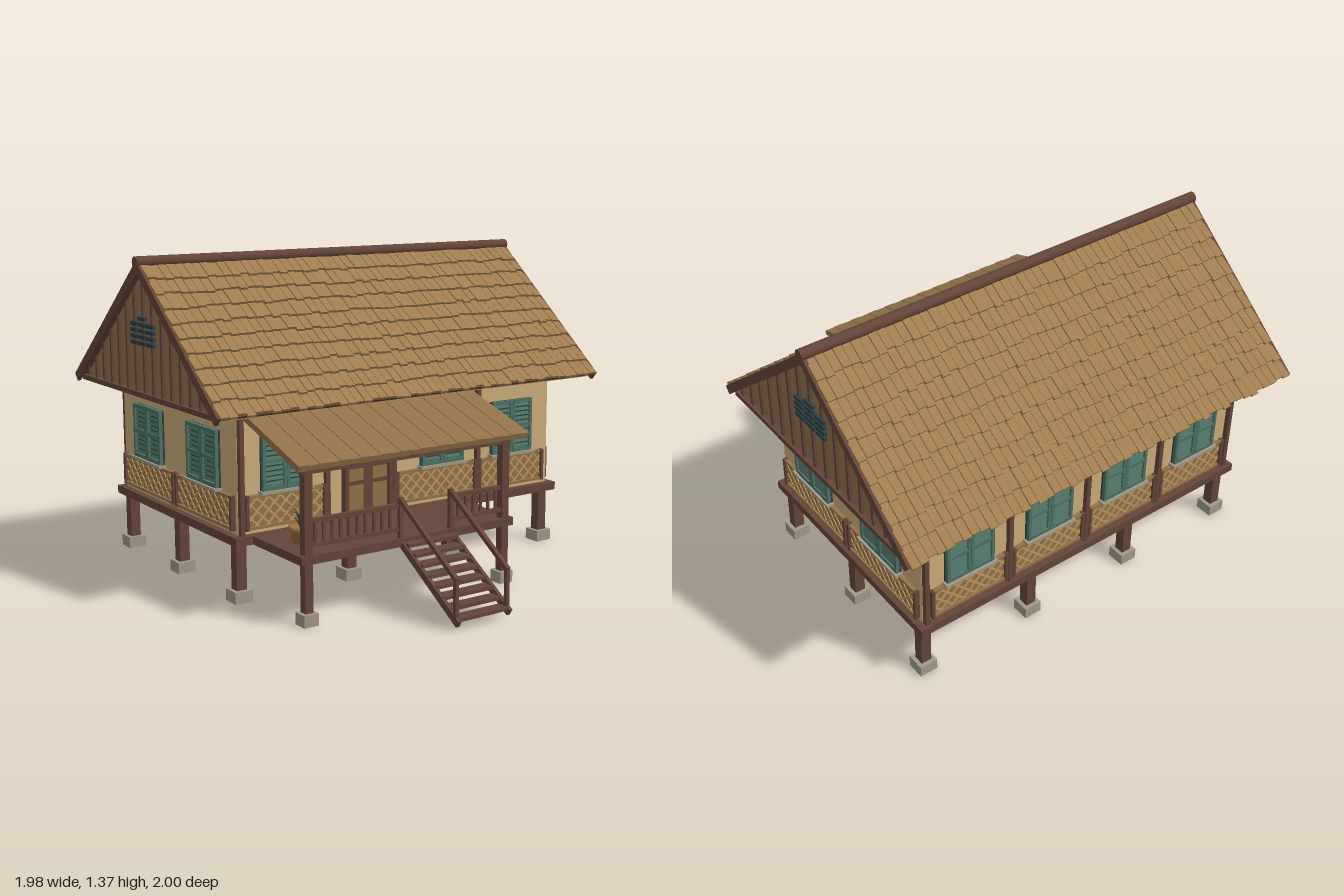
import * as THREE from 'three';
import { mergeGeometries } from 'three/addons/utils/BufferGeometryUtils.js';

const mat = (name, color, opts = {}) => {
  const m = new THREE.MeshStandardMaterial({ color, ...opts });
  m.name = name;
  return m;
};
const WOOD = mat('dark wood', 0x644539), TILE = mat('roof shingle', 0xa07d50), WALL = mat('plaster wall', 0xcbad7a),
  PANEL = mat('bamboo panel', 0x92724a), LATTICE = mat('lattice strip', 0xbd975c), SHUTTER = mat('green shutter', 0x4d7162),
  DARK = mat('dark vent', 0x2c3f42), STONE = mat('stone', 0xa09a88), POT = mat('clay pot', 0x9a7040),
  LEAF = mat('leaf', 0x3d4c3d, { side: THREE.DoubleSide });

function mesh(parent, name, geo, material) {
  const m = new THREE.Mesh(geo, material);
  m.name = name;
  parent.add(m);
  return m;
}
function box(parent, name, material, w, h, d, x, y, z) {
  const m = mesh(parent, name, new THREE.BoxGeometry(w, h, d), material);
  m.position.set(x, y, z);
  return m;
}
// Beam between two points lying in a plane of constant x
function slopeBeam(parent, name, material, w, t, x, y0, z0, y1, z1) {
  const b = box(parent, name, material, w, t, Math.hypot(y1 - y0, z1 - z0), x, (y0 + y1) / 2, (z0 + z1) / 2);
  b.rotation.x = -Math.atan2(y1 - y0, z1 - z0);
  return b;
}
function group(parent, name, x = 0, y = 0, z = 0, ry = 0) {
  const g = new THREE.Group();
  g.name = name;
  g.position.set(x, y, z);
  g.rotation.y = ry;
  parent.add(g);
  return g;
}
let seed = 7;
const rnd = () => (seed = (seed * 16807) % 2147483647) / 2147483647;

// Louvred double shutter facing +z, centred on its origin
function shutters(parent, w) {
  const h = 0.24, leaf = w / 2;
  box(parent, 'windowBack', DARK, w, h, 0.008, 0, 0, 0.004);
  for (const s of [-1, 1]) {
    const cx = s * leaf / 2;
    for (const e of [-1, 1]) {
      box(parent, 'shutterStile', SHUTTER, 0.014, h, 0.022, cx + e * (leaf / 2 - 0.008), 0, 0.013);
      box(parent, 'shutterRail', SHUTTER, leaf - 0.004, 0.016, 0.022, cx, e * (h / 2 - 0.008), 0.013);
    }
    box(parent, 'shutterRail', SHUTTER, leaf - 0.004, 0.014, 0.022, cx, 0, 0.013);
    for (let i = 0; i < 10; i++) {
      const l = box(parent, 'louvre', SHUTTER, leaf - 0.03, 0.015, 0.005, cx, -0.094 + i * 0.0209, 0.013);
      l.rotation.x = -0.5;
    }
  }
  box(parent, 'windowSill', STONE, w + 0.02, 0.012, 0.035, 0, -h / 2 - 0.006, 0.017);
}

// Lattice dado facing +z, with its bottom edge at the origin
function dado(parent, w) {
  const h = 0.13, parts = [];
  box(parent, 'dadoPanel', PANEL, w, h, 0.008, 0, h / 2, 0.004);
  for (const s of [-1, 1]) {
    for (let c = -w / 2 - h; c < w / 2; c += 0.055) {
      const y0 = Math.max(0, -w / 2 - c), y1 = Math.min(h, w / 2 - c);
      if (y1 - y0 < 0.01) continue;
      const g = new THREE.BoxGeometry(0.008, (y1 - y0) * Math.SQRT2, 0.004);
      g.rotateZ(-s * Math.PI / 4);
      parts.push(g.translate(s * (c + (y0 + y1) / 2), (y0 + y1) / 2, 0.01));
    }
    box(parent, 'dadoPost', WOOD, 0.014, h + 0.015, 0.022, s * w / 2, h / 2, 0.011);
  }
  mesh(parent, 'latticeStrips', mergeGeometries(parts), LATTICE);
  for (const y of [0, h]) box(parent, 'dadoRail', PANEL, w, 0.012, 0.018, 0, y, 0.009);
}

function buildRoof(root) {
  const Z = -0.31, angle = Math.atan2(0.55, 0.67), len = 0.85;
  // Attic prism: gable walls and soffit
  const tri = new THREE.Shape([[-0.64, 0], [0.64, 0], [0, 0.54]].map(p => new THREE.Vector2(...p)));
  const attic = mesh(root, 'gableAttic', new THREE.ExtrudeGeometry(tri, { depth: 1.9, bevelEnabled: false }), PANEL);
  attic.rotation.y = Math.PI / 2;
  attic.position.set(-0.95, 0.78, Z);
  for (const s of [1, -1]) {
    const side = group(root, 'roofSide', 0, 1.33, Z, s > 0 ? 0 : Math.PI);
    const slope = group(side, 'roofSlope');
    slope.rotation.x = angle;
    box(slope, 'roofDeck', WOOD, 1.93, 0.012, len, 0, 0, len / 2);
    // Overlapping shingles with ragged lower edges
    const parts = [];
    for (let r = 0; r < 10; r++) {
      for (let c = 0; c < 50; c++) {
        const l = 0.105 + rnd() * 0.016, g = new THREE.BoxGeometry(0.0365, 0.011, l);
        g.translate(0, 0, l / 2).rotateX(-0.13);
        parts.push(g.translate(-0.956 + c * 0.039, 0.008 + rnd() * 0.004, r * 0.0845 - 0.01));
      }
    }
    mesh(slope, 'shingles', mergeGeometries(parts), TILE);
    for (const e of [-1, 1]) box(slope, 'bargeBoard', WOOD, 0.016, 0.04, len + 0.02, e * 0.977, 0, len / 2);
  }
  const ridge = mesh(root, 'ridgePole', new THREE.CylinderGeometry(0.025, 0.025, 1.98, 10), WOOD);
  ridge.rotation.z = Math.PI / 2;
  ridge.position.set(0, 1.35, Z);
  // Gable battens, tie beam and louvred vent at both ends
  for (const s of [1, -1]) {
    const gable = group(root, 'gableTrim', s * 0.95, 0.78, Z, s * Math.PI / 2);
    box(gable, 'tieBeam', WOOD, 1.24, 0.022, 0.024, 0, 0.011, 0.01);
    for (let i = -7; i <= 7; i++) {
      const h = 0.53 * (1 - Math.abs(i) * 0.082 / 0.64);
      box(gable, 'batten', WOOD, 0.014, h, 0.012, i * 0.082, h / 2, 0.006);
    }
    for (let c = -1; c <= 1; c++) {
      for (let i = 0; i < (c ? 4 : 5); i++) box(gable, 'ventSlat', DARK, 0.064, 0.016, 0.014, c * 0.075, 0.23 + i * 0.026, 0.012);
    }
  }
}

function buildBody(root) {
  box(root, 'walls', WALL, 1.64, 0.5, 1.04, 0, 0.53, -0.305);
  box(root, 'houseFloor', WOOD, 1.7, 0.036, 1.11, 0, 0.263, -0.305);
  // Stilts on stone footings
  const stilt = (x, z, top, w, f) => {
    box(root, 'stilt', WOOD, w, top, w, x, top / 2 + 0.02, z);
    box(root, 'footing', STONE, f, 0.05, f, x, 0.025, z);
  };
  for (const x of [-0.805, -0.268, 0.268, 0.805]) for (const z of [0.19, -0.31, -0.8]) stilt(x, z, 0.24, 0.046, 0.08);
  for (const x of [-0.735, 0.24]) stilt(x, 0.595, 0.6, 0.036, 0.066);
  // Wall fittings as [offset, width] lists along each wall
  const walls = [
    { pos: [0, 0.215], ry: 0, win: [[-0.6, 0.23], [0.2, 0.23], [0.595, 0.23]], dado: [[-0.6, 0.37], [0.17, 0.43], [0.595, 0.37]], studs: [-0.808, -0.4, -0.06, 0.4] },
    { pos: [0, -0.825], ry: Math.PI, win: [-0.6, -0.2, 0.2, 0.6].map(x => [x, 0.23]), dado: [-0.6, -0.2, 0.2, 0.6].map(x => [x, 0.36]), studs: [-0.808, -0.4, 0, 0.4, 0.808] },
    ...[1, -1].map(s => ({ pos: [s * 0.82, -0.305], ry: s * Math.PI / 2, win: [[-s * 0.255, 0.26], [s * 0.25, 0.26]], dado: [[-0.255, 0.48], [0.255, 0.48]], studs: [] })),
  ];
  for (const w of walls) {
    const g = group(root, 'wallFittings', w.pos[0], 0, w.pos[1], w.ry);
    for (const [x, size] of w.win) shutters(group(g, 'shutterWindow', x, 0.572), size);
    for (const [x, size] of w.dado) dado(group(g, 'latticeDado', x, 0.305), size);
    for (const x of w.studs) box(g, 'wallStud', WOOD, 0.02, 0.5, 0.022, x, 0.53, 0.011);
  }
  // Double door
  const door = group(root, 'door', -0.2, 0.28, 0.215);
  box(door, 'doorBoard', WOOD, 0.23, 0.38, 0.016, 0, 0.19, 0.008);
  for (const s of [-1, 1]) {
    box(door, 'doorJamb', WOOD, 0.018, 0.39, 0.03, s * 0.113, 0.195, 0.015);
    for (const [y, h] of [[0.08, 0.11], [0.18, 0.05], [0.285, 0.12]]) box(door, 'doorPanel', PANEL, 0.072, h, 0.006, s * 0.06, y, 0.019);
  }
  box(door, 'doorLintel', WOOD, 0.25, 0.02, 0.03, 0, 0.39, 0.015);
}

function buildPorch(root) {
  box(root, 'porchDeck', WOOD, 1.05, 0.034, 0.4, -0.247, 0.263, 0.42);
  // Lean-to roof of narrow planks on rafters
  for (let i = 0; i < 24; i++) {
    slopeBeam(root, 'porchPlank', PANEL, 0.0465, i % 2 ? 0.022 : 0.026, -0.782 + i * 0.0471, 0.635, 0.655, 0.782, 0.21);
  }
  for (const x of [-0.735, -0.247, 0.24]) slopeBeam(root, 'rafter', WOOD, 0.026, 0.026, x, 0.618, 0.615, 0.75, 0.22);
  box(root, 'porchBeam', WOOD, 1.03, 0.026, 0.03, -0.247, 0.612, 0.595);
  // Front railing either side of the stair
  for (const [a, b] of [[-0.735, -0.305], [-0.04, 0.24]]) {
    for (const y of [0.315, 0.412]) box(root, 'railing', WOOD, b - a, 0.016, 0.022, (a + b) / 2, y, 0.595);
    const n = Math.round((b - a) / 0.04);
    for (let i = 1; i < n; i++) box(root, 'baluster', WOOD, 0.01, 0.1, 0.01, a + (b - a) * i / n, 0.363, 0.595);
  }
  // Stair
  for (let i = 0; i < 8; i++) box(root, 'tread', WOOD, 0.25, 0.014, 0.056, -0.172, 0.04 + i * 0.031, 0.955 - i * 0.046);
  for (const x of [-0.298, -0.046]) {
    slopeBeam(root, 'stringer', WOOD, 0.016, 0.03, x, 0.025, 0.985, 0.255, 0.62);
    slopeBeam(root, 'handrail', WOOD, 0.018, 0.018, x, 0.195, 0.972, 0.437, 0.605);
    box(root, 'newelPost', WOOD, 0.016, 0.165, 0.016, x, 0.115, 0.966);
    box(root, 'newelPost', WOOD, 0.018, 0.18, 0.018, x, 0.355, 0.605);
  }
  // Potted plant with arching leaves
  const plant = group(root, 'pottedPlant', -0.66, 0.28, 0.44);
  const profile = [[0, 0], [0.035, 0], [0.045, 0.05], [0.054, 0.052], [0.054, 0.068], [0.044, 0.068], [0.04, 0.058], [0, 0.058]];
  mesh(plant, 'pot', new THREE.LatheGeometry(profile.map(p => new THREE.Vector2(...p)), 12), POT);
  for (let i = 0; i < 11; i++) {
    const blade = new THREE.PlaneGeometry(0.016, 1, 1, 4), p = blade.attributes.position;
    const reach = 0.05 + (i % 3) * 0.018, rise = 0.115 - (i % 3) * 0.02;
    for (let k = 0; k < p.count; k++) {
      const t = p.getY(k) + 0.5;
      p.setXYZ(k, p.getX(k) * (1.05 - t), 0.055 + rise * (1.9 * t - 1.0 * t * t), reach * t * (0.5 + 0.6 * t));
    }
    blade.computeVertexNormals();
    mesh(plant, 'leaf', blade, LEAF).rotation.y = i * 2.4;
  }
}

export function createModel() {
  const root = new THREE.Group();
  root.name = 'stiltHouse';
  buildBody(root);
  buildRoof(root);
  buildPorch(root);
  return root;
}
